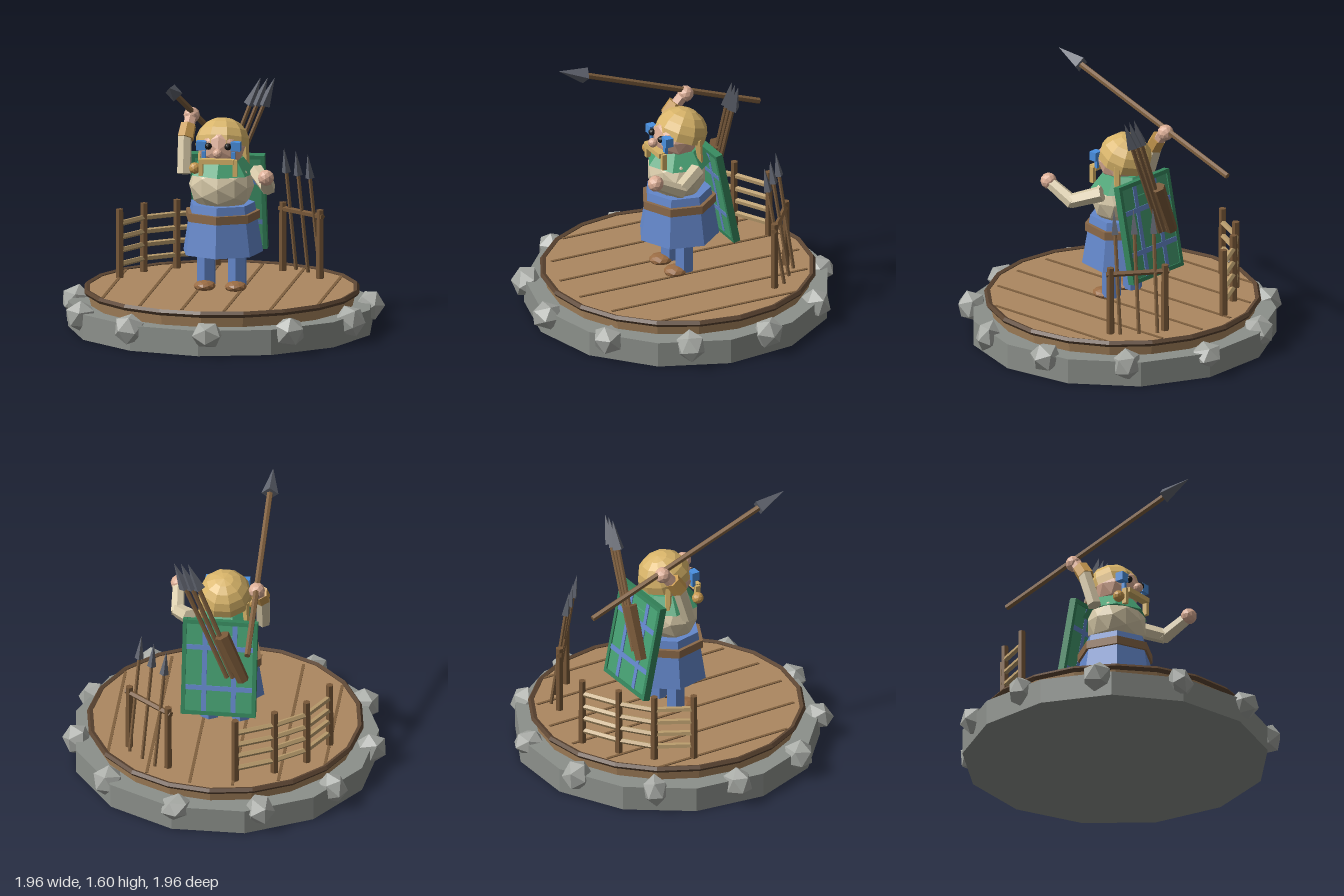
import * as THREE from 'three';

const C = {
  stone: 0x8c908b, rock: 0xa6a9a4, wood: 0xac8860, rim: 0x5c4532, seam: 0x80603f, post: 0x785838,
  rail: 0xb99c6c, blue: 0x6488cc, belt: 0x8c6a4a, cream: 0xd9cbaa, skin: 0xdcae96, hair: 0xd8b469,
  green: 0x46a072, darkGreen: 0x35875d, metal: 0x60646f, paint: 0x4a90e0, black: 0x181818, gold: 0xc99a50, shoe: 0x9a6c44,
};
const mats = {};
const mat = (name) => mats[name] ??= new THREE.MeshStandardMaterial({ color: C[name], flatShading: true });
const V = (p) => new THREE.Vector3(...p);
const UP = new THREE.Vector3(0, 1, 0);

function add(parent, name, geometry, color, pos = [0, 0, 0], scale = [1, 1, 1]) {
  const m = new THREE.Mesh(geometry, mat(color));
  m.name = name;
  m.position.set(...pos);
  m.scale.set(...scale);
  parent.add(m);
  return m;
}
const box = (parent, name, size, color, pos) => add(parent, name, new THREE.BoxGeometry(...size), color, pos);
const ball = (parent, name, r, color, pos, scale, detail = 1) =>
  add(parent, name, new THREE.IcosahedronGeometry(r, detail), color, pos, scale);
const drum = (parent, name, rTop, rBottom, y0, y1, sides, color, z = -0.03) =>
  add(parent, name, new THREE.CylinderGeometry(rTop, rBottom, y1 - y0, sides), color, [0, (y0 + y1) / 2, z]);

// Tapered rod from a to b
function rod(parent, name, a, b, rA, rB, color, sides = 6) {
  const d = V(b).sub(V(a));
  const m = add(parent, name, new THREE.CylinderGeometry(rB, rA, d.length(), sides), color,
    V(a).addScaledVector(d, 0.5).toArray());
  m.quaternion.setFromUnitVectors(UP, d.normalize());
  return m;
}

// Shaft with a pointed four-sided head ending at tip
function spear(parent, name, tail, tip, shaftR, headR, headLength) {
  const g = new THREE.Group();
  g.name = name;
  const d = V(tip).sub(V(tail)).normalize();
  const neck = V(tip).addScaledVector(d, -headLength).toArray();
  rod(g, 'shaft', tail, neck, shaftR, shaftR, 'seam', 6);
  rod(g, 'spearHead', neck, tip, headR, 0.001, 'metal', 4);
  parent.add(g);
}

function buildBase(root) {
  const g = new THREE.Group();
  g.name = 'base';
  root.add(g);
  drum(g, 'stoneFoundation', 0.93, 0.93, 0, 0.155, 13, 'stone');
  drum(g, 'woodenDeck', 0.82, 0.8, 0.155, 0.243, 20, 'wood');
  const rim = add(g, 'deckRim', new THREE.TorusGeometry(0.822, 0.02, 5, 20), 'rim', [0, 0.236, -0.03]);
  rim.rotation.x = Math.PI / 2;

  // Plank seams
  for (const [x, length] of [[0.13, 1.49], [0.4, 1.33], [0.66, 0.91]])
    for (const s of [-1, 1]) box(g, 'plankSeam', [0.018, 0.008, length], 'seam', [s * x, 0.244, -0.04]);

  // Boulders around the edge
  for (let i = 0; i < 11; i++) {
    const a = 0.06 + (i * Math.PI * 2) / 11;
    const rock = ball(g, 'boulder', 0.1, 'rock', [0.9 * Math.sin(a), 0.13, -0.01 + 0.9 * Math.cos(a)],
      [1, 0.85 + 0.1 * Math.sin(i * 2.3), 1], 0);
    rock.rotation.set(i * 1.3, i * 2.1, i * 0.7);
  }
}

function buildFence(root) {
  const g = new THREE.Group();
  g.name = 'fence';
  root.add(g);
  const posts = [[-0.66, -0.25], [-0.545, -0.46], [-0.365, -0.6], [-0.14, -0.72]];
  posts.forEach(([x, z], i) => {
    rod(g, 'fencePost', [x, 0.24, z], [x, 0.665, z], 0.025, 0.023, 'post', 6);
    if (i === 0) return;
    const [px, pz] = posts[i - 1];
    for (const y of [0.325, 0.41, 0.49, 0.575])
      rod(g, 'fenceRail', [px, y, pz], [x, y, z], 0.018, 0.018, 'rail', 5);
  });
}

function buildRack(root) {
  const g = new THREE.Group();
  g.name = 'spearRack';
  root.add(g);
  const ends = [[0.28, -0.62], [0.54, -0.41]];
  for (const [x, z] of ends) rod(g, 'rackPost', [x, 0.24, z], [x, 0.665, z], 0.025, 0.023, 'post', 6);
  rod(g, 'rackBar', [0.26, 0.625, -0.635], [0.56, 0.625, -0.395], 0.018, 0.018, 'post', 5);
  for (let i = 0; i < 3; i++)
    spear(g, 'rackSpear', [0.36 + i * 0.085, 0.25, -0.63 + i * 0.075],
      [0.3 + i * 0.085, 1.01, -0.54 + i * 0.082], 0.012, 0.028, 0.15);
}

function buildBody(g) {
  for (const s of [-1, 1]) {
    rod(g, 'leg', [s * 0.095, 0.26, -0.025], [s * 0.095, 0.5, -0.025], 0.06, 0.06, 'blue', 6);
    ball(g, 'shoe', 0.068, 'shoe', [s * 0.095, 0.265, 0.035], [1, 0.5, 1.1], 1);
  }
  drum(g, 'skirt', 0.2, 0.25, 0.465, 0.77, 7, 'blue');
  drum(g, 'belt', 0.232, 0.232, 0.67, 0.72, 7, 'belt');
  ball(g, 'torso', 0.2, 'cream', [0, 0.88, -0.02], [1, 0.9, 0.88]);
  drum(g, 'shoulderWrap', 0.13, 0.205, 0.95, 1.045, 7, 'green', -0.04);

  // Bent left arm
  rod(g, 'upperArm', [0.21, 0.96, -0.05], [0.305, 0.895, 0.12], 0.05, 0.045, 'cream', 6);
  rod(g, 'forearm', [0.305, 0.89, 0.1], [0.32, 0.98, 0.27], 0.045, 0.038, 'cream', 6);
  ball(g, 'hand', 0.05, 'skin', [0.32, 0.99, 0.285]);

  // Raised right arm
  rod(g, 'upperArm', [-0.23, 0.94, -0.02], [-0.235, 1.16, -0.09], 0.045, 0.045, 'cream', 6);
  rod(g, 'armband', [-0.23, 1.145, -0.08], [-0.22, 1.22, -0.13], 0.053, 0.05, 'gold', 6);
  rod(g, 'forearm', [-0.23, 1.14, -0.08], [-0.21, 1.27, -0.18], 0.04, 0.036, 'skin', 6);
  ball(g, 'hand', 0.05, 'skin', [-0.21, 1.27, -0.19]);
  spear(g, 'thrownSpear', [-0.21, 1.115, -0.69], [-0.21, 1.6, 0.67], 0.019, 0.052, 0.19);
}

function buildHead(root) {
  const g = new THREE.Group();
  g.name = 'head';
  root.add(g);
  ball(g, 'face', 0.145, 'skin', [0, 1.12, -0.02]);
  // Hair cap, open at the front below the brow
  const hair = add(g, 'hair', new THREE.SphereGeometry(0.165, 10, 5, 0, Math.PI * 2, 0, 1.75), 'hair',
    [0, 1.135, -0.05], [1, 0.92, 1]);
  hair.rotation.x = -0.32;
  for (const s of [-1, 1]) {
    rod(g, 'sideBraid', [s * 0.13, 1.12, -0.1], [s * 0.14, 0.96, -0.11], 0.025, 0.018, 'hair', 5);
    box(g, 'facePaint', [0.06, 0.055, 0.05], 'paint', [s * 0.105, 1.14, 0.095]);
    box(g, 'cheekPaint', [0.022, 0.05, 0.02], 'paint', [s * 0.09, 1.08, 0.1]);
    ball(g, 'eye', 0.022, 'black', [s * 0.06, 1.14, 0.115]);
    box(g, 'moustacheTail', [0.025, 0.1, 0.03], 'hair', [s * 0.105, 1.01, 0.12]);
  }
  ball(g, 'nose', 0.03, 'skin', [0, 1.1, 0.14]);
  box(g, 'moustache', [0.2, 0.03, 0.05], 'hair', [0, 1.05, 0.125]);
  ball(g, 'brooch', 0.036, 'gold', [-0.145, 1.0, 0.1]);
}

function buildBackGear(root) {
  // Checked shield leaning against the back
  const g = new THREE.Group();
  g.name = 'shield';
  g.position.set(0.01, 0.74, -0.25);
  g.rotation.x = 0.2;
  root.add(g);
  box(g, 'shieldBoard', [0.45, 0.6, 0.03], 'green');
  for (const s of [-1, 1]) {
    box(g, 'shieldSide', [0.025, 0.61, 0.045], 'darkGreen', [s * 0.215, 0, 0]);
    box(g, 'shieldEnd', [0.45, 0.025, 0.045], 'darkGreen', [0, s * 0.292, 0]);
    box(g, 'uprightStripe', [0.03, 0.58, 0.036], 'blue', [s * 0.09, 0, -0.002]);
    box(g, 'crossStripe', [0.42, 0.03, 0.038], 'blue', [0, s * 0.13, -0.002]);
  }

  // Quiver with three spears
  const q = new THREE.Group();
  q.name = 'quiver';
  root.add(q);
  rod(q, 'quiverTube', [-0.14, 0.69, -0.3], [-0.01, 1.0, -0.3], 0.038, 0.048, 'post', 6);
  for (let i = 0; i < 3; i++)
    spear(q, 'quiverSpear', [-0.11 + i * 0.035, 0.7, -0.295], [0.195 + i * 0.043, 1.49, -0.295], 0.014, 0.04, 0.18);
}

export function createModel() {
  const root = new THREE.Group();
  root.name = 'spearThrowerOnPlatform';
  buildBase(root);
  buildFence(root);
  buildRack(root);
  const figure = new THREE.Group();
  figure.name = 'figure';
  root.add(figure);
  buildBody(figure);
  buildHead(figure);
  buildBackGear(figure);
  return root;
}
